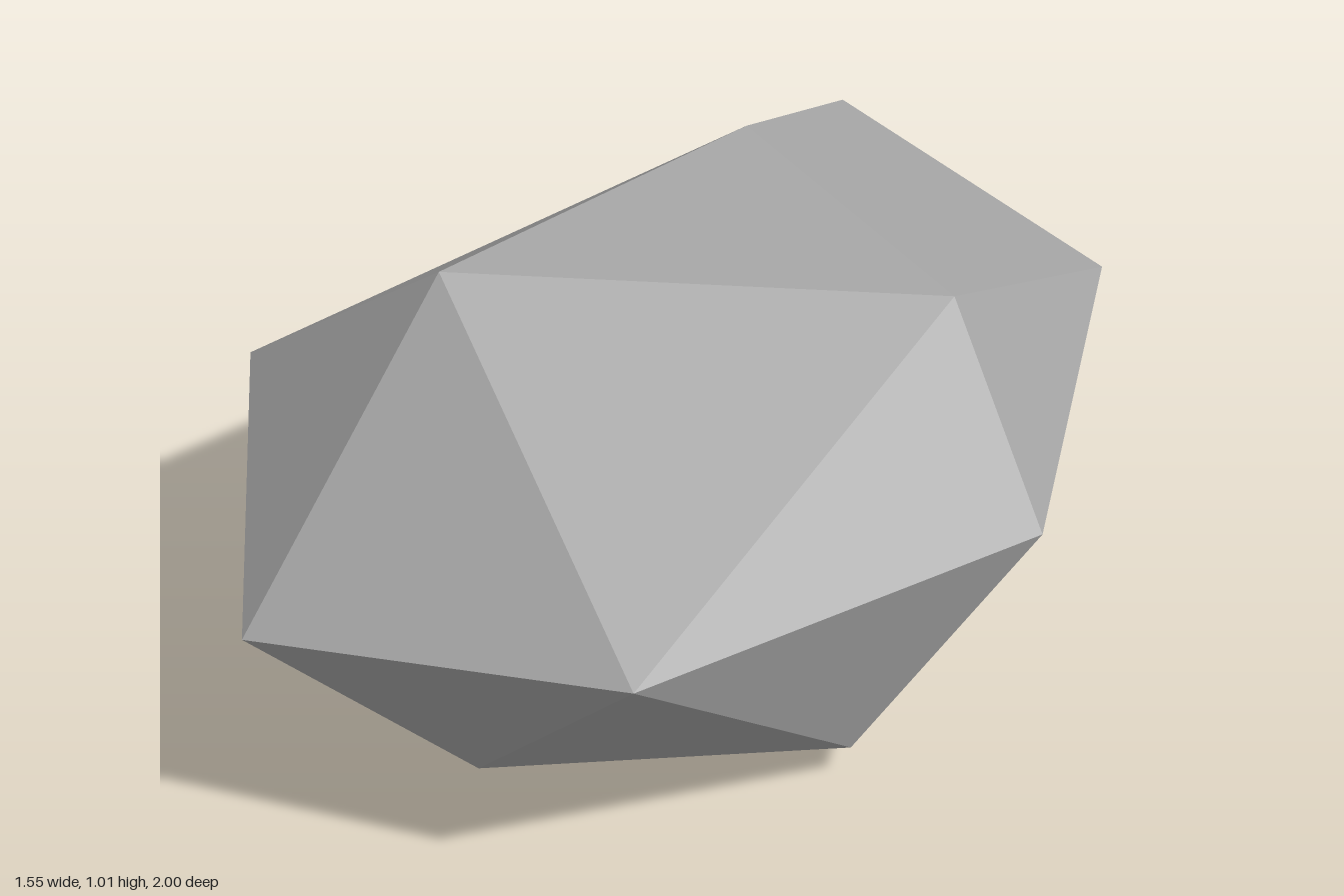
import * as THREE from 'three';
import { ConvexGeometry } from 'three/addons/geometries/ConvexGeometry.js';

export function createModel() {
  const group = new THREE.Group();
  group.name = 'rock';

  const stoneGrey = new THREE.MeshStandardMaterial({ color: 0xa6a6a6, flatShading: true });
  stoneGrey.name = 'stoneGrey';

  // Corners of the faceted boulder, grouped by height
  const crown = [[-0.17, 1.0, 0.37], [-0.185, 1.015, -0.41], [0.48, 0.973, -0.447], [-0.35, 0.82, -0.77]];
  const shoulder = [[0.24, 0.66, -0.99], [0.775, 0.547, -0.453], [0.735, 0.56, 0.54], [0.02, 0.463, 1.0], [-0.55, 0.65, 0.565]];
  const belly = [[-0.778, 0.355, 0.012], [-0.165, 0.19, -1.0]];
  const foot = [[0.16, 0.005, 0.51], [0.615, 0.07, -0.09], [-0.12, 0, -0.15]];

  // The boulder is the convex skin around its corners, with one flat normal per facet
  const corners = [...crown, ...shoulder, ...belly, ...foot].map((p) => new THREE.Vector3(...p));
  const boulder = new THREE.Mesh(new ConvexGeometry(corners), stoneGrey);
  boulder.name = 'boulder';
  group.add(boulder);

  return group;
}
